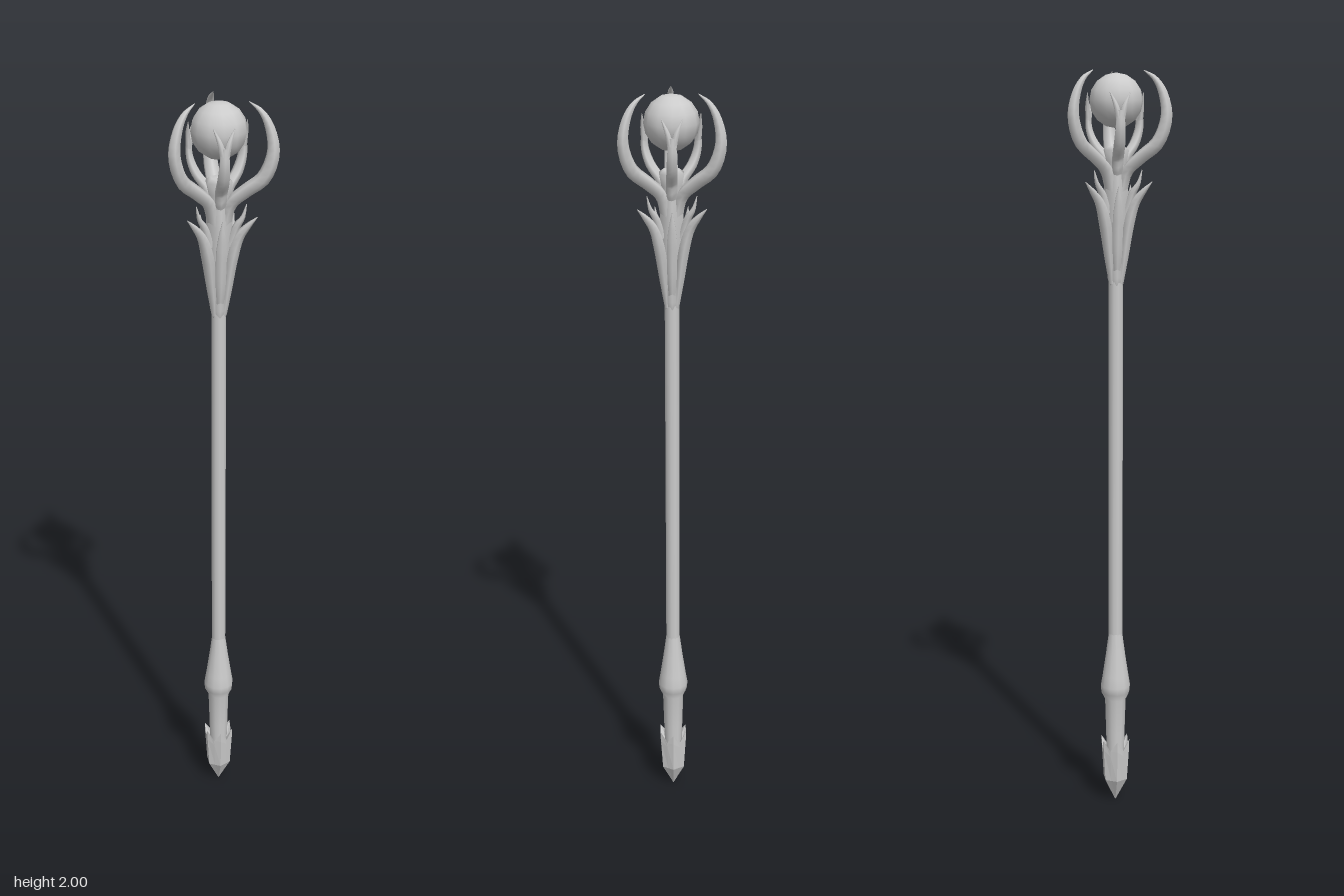
import * as THREE from 'three';

const material = new THREE.MeshStandardMaterial({ color: 0xcccccc, side: THREE.DoubleSide });
const flatMaterial = new THREE.MeshStandardMaterial({ color: 0xcccccc, side: THREE.DoubleSide, flatShading: true });

// Turned part from [radius, height] pairs.
function turned(name, pairs, sides, mat = material) {
  const mesh = new THREE.Mesh(new THREE.LatheGeometry(pairs.map(([r, y]) => new THREE.Vector2(r, y)), sides), mat);
  mesh.name = name;
  return mesh;
}

// Tapered sweep; each row is [out, y, sideways, half depth, half width].
function limb(name, rows, steps = 16, sides = 6) {
  const path = new THREE.CatmullRomCurve3(rows.map(p => new THREE.Vector3(p[0], p[1], p[2])));
  const sizes = new THREE.CatmullRomCurve3(rows.map(p => new THREE.Vector3(p[3], p[4], 0)));
  const pos = [], idx = [];
  const across = new THREE.Vector3(0, 0, 1);
  for (let i = 0; i <= steps; i++) {
    const t = i / steps, c = path.getPoint(t), s = sizes.getPoint(t);
    const tangent = path.getTangent(t);
    const n = new THREE.Vector3().crossVectors(tangent, across).normalize();
    const b = new THREE.Vector3().crossVectors(n, tangent).normalize();
    for (let j = 0; j < sides; j++) {
      const a = j / sides * Math.PI * 2;
      const p = c.clone().addScaledVector(n, Math.cos(a) * s.x).addScaledVector(b, Math.sin(a) * s.y);
      pos.push(p.x, p.y, p.z);
      if (i < steps) {
        const k = (j + 1) % sides, r0 = i * sides, r1 = r0 + sides;
        idx.push(r0 + j, r1 + j, r0 + k, r0 + k, r1 + j, r1 + k);
      }
    }
  }
  const g = new THREE.BufferGeometry();
  g.setAttribute('position', new THREE.Float32BufferAttribute(pos, 3));
  // Keep the winding outward.
  for (let i = 0; i < idx.length; i += 3) [idx[i + 1], idx[i + 2]] = [idx[i + 2], idx[i + 1]];
  g.setIndex(idx);
  g.computeVertexNormals();
  const mesh = new THREE.Mesh(g, material);
  mesh.name = name;
  return mesh;
}

// Pointed foot with a zigzag upper rim.
function foot() {
  const n = 12, pos = [], idx = [];
  const rings = [
    [0.024, 0.15, 0.024, 0.13], [0.042, 0.185, 0.037, 0.155],
    [0.041, 0.155, 0.036, 0.14], [0.035, 0.065, 0.03, 0.065], [0.001, 0, 0.001, 0]
  ];
  rings.forEach(([r0, y0, r1, y1], i) => {
    for (let j = 0; j < n; j++) {
      const odd = j % 2, a = (j + 1) / n * Math.PI * 2, r = odd ? r1 : r0;
      pos.push(Math.cos(a) * r, odd ? y1 : y0, Math.sin(a) * r);
      if (i < rings.length - 1) {
        const k = (j + 1) % n, a0 = i * n, b0 = a0 + n;
        idx.push(a0 + j, a0 + k, b0 + j, a0 + k, b0 + k, b0 + j);
      }
    }
  });
  const g = new THREE.BufferGeometry();
  g.setAttribute('position', new THREE.Float32BufferAttribute(pos, 3));
  g.setIndex(idx);
  g.computeVertexNormals();
  const mesh = new THREE.Mesh(g, flatMaterial);
  mesh.name = 'pointedFoot';
  return mesh;
}

// Large claw with the panel and spikes below it.
function hornArm() {
  const arm = new THREE.Group();
  arm.name = 'hornArm';
  arm.add(
    limb('horn', [
      [0.012, 1.66, 0, 0.014, 0.018], [0.03, 1.745, 0, 0.016, 0.02], [0.07, 1.783, 0, 0.017, 0.02],
      [0.115, 1.82, 0, 0.018, 0.019], [0.138, 1.885, 0, 0.016, 0.016], [0.127, 1.945, 0, 0.012, 0.012],
      [0.105, 1.98, 0, 0.007, 0.008], [0.075, 2, 0, 0.001, 0.001]], 24),
    limb('sidePanel', [
      [0.014, 1.455, 0, 0.007, 0.009], [0.024, 1.53, 0, 0.012, 0.015], [0.036, 1.61, 0, 0.015, 0.019],
      [0.053, 1.665, 0, 0.013, 0.015], [0.076, 1.695, 0, 0.008, 0.01], [0.1, 1.72, 0, 0.001, 0.001]]),
    limb('innerSpike', [
      [0.03, 1.64, 0, 0.012, 0.012], [0.046, 1.69, 0, 0.01, 0.011],
      [0.062, 1.715, 0, 0.006, 0.007], [0.072, 1.75, 0, 0.001, 0.001]], 10)
  );
  return arm;
}

// Forked prong holding the orb, with a leaf below it.
function prongArm() {
  const arm = new THREE.Group();
  arm.name = 'prongArm';
  arm.add(
    limb('prong', [
      [0.008, 1.72, 0, 0.014, 0.016], [0.028, 1.775, 0, 0.014, 0.016], [0.06, 1.815, 0, 0.012, 0.016],
      [0.076, 1.855, 0, 0.009, 0.014], [0.077, 1.9, 0, 0.007, 0.011]]),
    limb('leaf', [
      [0.012, 1.465, 0, 0.007, 0.008], [0.024, 1.54, 0, 0.01, 0.014], [0.035, 1.62, 0, 0.009, 0.015],
      [0.043, 1.67, 0, 0.006, 0.01], [0.049, 1.71, 0, 0.001, 0.001]])
  );
  for (const s of [-1, 1]) {
    arm.add(limb('prongTip', [
      [0.077, 1.875, s * 0.003, 0.007, 0.009], [0.076, 1.91, s * 0.011, 0.006, 0.007],
      [0.069, 1.945, s * 0.026, 0.001, 0.001]], 8));
  }
  return arm;
}

export function createModel() {
  const model = new THREE.Group();
  model.name = 'staff';
  const staff = new THREE.Group();
  staff.name = 'staffParts';
  staff.position.z = 0.035;
  model.add(staff);

  // Shaft, grip and foot
  staff.add(turned('shaft', [[0.019, 0.46], [0.019, 1.48]], 10));
  staff.add(turned('grip', [[0.024, 0.13], [0.026, 0.2], [0.029, 0.3], [0.039, 0.32], [0.041, 0.34],
    [0.036, 0.37], [0.027, 0.43], [0.019, 0.49]], 12));
  staff.add(foot());

  // Head core and cup
  staff.add(turned('headCore', [[0.019, 1.45], [0.024, 1.47], [0.03, 1.58], [0.036, 1.66], [0.032, 1.73],
    [0.03, 1.77], [0.036, 1.8], [0.022, 1.81], [0, 1.805]], 6));

  // Orb
  const orb = new THREE.Mesh(new THREE.SphereGeometry(0.07, 12, 8), material);
  orb.name = 'orb';
  orb.position.y = 1.925;
  staff.add(orb);

  // Three horns alternate with three prongs
  for (let i = 0; i < 3; i++) {
    const horn = hornArm(), prong = prongArm();
    horn.rotation.y = Math.PI / 2 + i * Math.PI * 2 / 3;
    prong.rotation.y = Math.PI / 6 + i * Math.PI * 2 / 3;
    staff.add(horn, prong);
  }
  return model;
}
